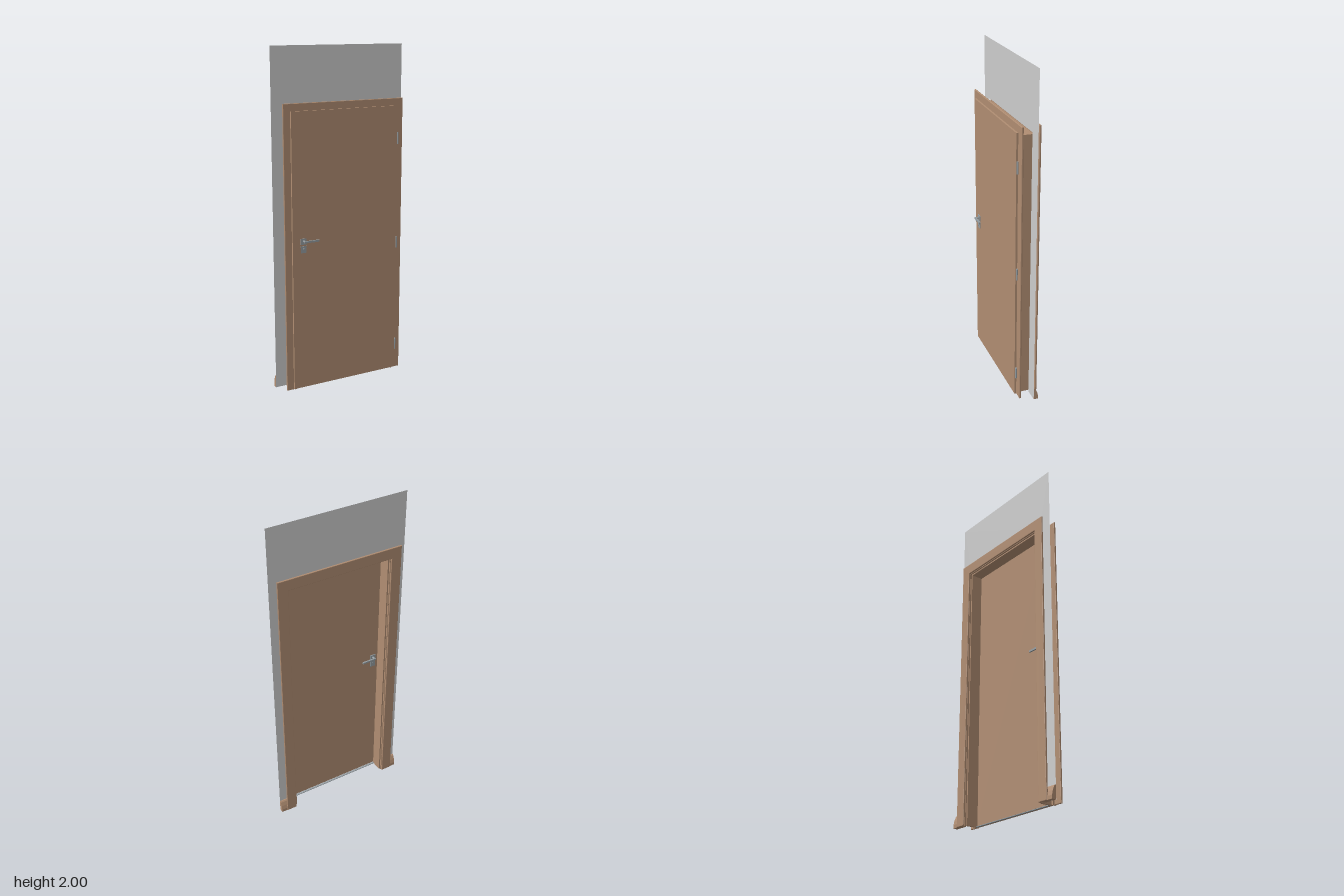
import * as THREE from 'three';

const wood = new THREE.MeshStandardMaterial({ color: 0xb08d72 });
wood.name = 'wood';
const metal = new THREE.MeshStandardMaterial({ color: 0x959da1 });
metal.name = 'metal';
const plaster = new THREE.MeshStandardMaterial({ color: 0xcccccc, side: THREE.DoubleSide });
plaster.name = 'plaster';

function add(parent, name, geometry, material) {
  const mesh = new THREE.Mesh(geometry, material);
  mesh.name = name;
  parent.add(mesh);
  return mesh;
}

// Box given by its minimum and maximum on each axis
function box(parent, name, [x0, x1], [y0, y1], [z0, z1], material) {
  const mesh = add(parent, name, new THREE.BoxGeometry(x1 - x0, y1 - y0, z1 - z0), material);
  mesh.position.set((x0 + x1) / 2, (y0 + y1) / 2, (z0 + z1) / 2);
  return mesh;
}

// Portal outline: two legs and a head, open at the floor
function portalShape(outX, outY, inX, inY) {
  return new THREE.Shape([
    [-outX, 0], [-inX, 0], [-inX, inY], [inX, inY],
    [inX, 0], [outX, 0], [outX, outY], [-outX, outY],
  ].map(([x, y]) => new THREE.Vector2(x, y)));
}

function portal(parent, name, outX, outY, inX, inY, z0, z1, bevel = 0) {
  const geometry = new THREE.ExtrudeGeometry(portalShape(outX, outY, inX, inY), {
    depth: z1 - z0 - 2 * bevel,
    bevelEnabled: bevel > 0,
    bevelSize: bevel,
    bevelThickness: bevel,
    bevelOffset: -bevel,
    bevelSegments: 2,
  });
  add(parent, name, geometry, wood).position.z = z0 + bevel;
}

// Lever set on one face of the door; dir is the way it sticks out
function handleSet(parent, name, faceZ, dir) {
  const set = new THREE.Group();
  set.name = name;
  set.position.z = faceZ;
  parent.add(set);
  const out = (a, b) => (dir > 0 ? [a, b] : [-b, -a]);
  box(set, 'handleRose', [-0.296, -0.261], [0.886, 0.921], out(0, 0.005), metal);
  box(set, 'keyRose', [-0.296, -0.261], [0.837, 0.877], out(0, 0.005), metal);
  const neck = add(set, 'handleNeck', new THREE.CylinderGeometry(0.006, 0.006, 0.026, 16), metal);
  neck.rotation.x = Math.PI / 2;
  neck.position.set(-0.278, 0.906, dir * 0.017);
  box(set, 'handleLever', [-0.284, -0.193], [0.9, 0.911], out(0.023, 0.032), metal);
  const cylinder = add(set, 'lockCylinder', new THREE.CylinderGeometry(0.006, 0.006, 0.004, 16), metal);
  cylinder.rotation.x = Math.PI / 2;
  cylinder.position.set(-0.278, 0.86, dir * 0.006);
}

export function createModel() {
  const model = new THREE.Group();
  model.name = 'doorInWall';

  // Thin wall sheet around the opening
  const wall = add(model, 'wall', new THREE.ShapeGeometry(portalShape(0.425, 2, 0.34, 1.64)), plaster);
  wall.position.z = -0.048;

  // Frame: lining, casings and their tongues
  const frame = new THREE.Group();
  frame.name = 'frame';
  model.add(frame);
  portal(frame, 'lining', 0.325, 1.625, 0.312, 1.612, -0.061, 0.011);
  portal(frame, 'backCasing', 0.388, 1.69, 0.323, 1.623, -0.08, -0.069, 0.003);
  portal(frame, 'backTongue', 0.335, 1.635, 0.32, 1.62, -0.07, -0.06);
  portal(frame, 'frontCasing', 0.388, 1.69, 0.323, 1.623, 0.019, 0.03, 0.003);
  portal(frame, 'frontTongue', 0.335, 1.635, 0.323, 1.623, 0.01, 0.02);
  portal(frame, 'sealStrip', 0.335, 1.635, 0.325, 1.625, 0.029, 0.033);

  // Rebated door leaf
  const door = new THREE.Group();
  door.name = 'door';
  model.add(door);
  box(door, 'doorBody', [-0.32, 0.32], [0.008, 1.62], [0.012, 0.034], wood);
  box(door, 'doorFace', [-0.346, 0.344], [0.008, 1.647], [0.033, 0.044], wood);
  handleSet(door, 'frontHandle', 0.044, 1);
  handleSet(door, 'backHandle', 0.012, -1);

  // Hinges on the model's left
  for (const y of [0.16, 0.818, 1.455]) {
    const hinge = add(model, 'hinge', new THREE.CylinderGeometry(0.0055, 0.0055, 0.07, 16), metal);
    hinge.position.set(0.351, y, 0.038);
  }

  // Threshold strip under the leaf
  box(model, 'threshold', [-0.323, 0.323], [0, 0.004], [0.002, 0.014], metal);

  // Short skirting boards behind the wall, profile drawn as (depth, height)
  const profile = new THREE.Shape([
    [0, 0], [0.027, 0], [0.027, 0.02], [0.021, 0.045], [0.012, 0.068], [0.006, 0.075], [0, 0.075],
  ].map(([x, y]) => new THREE.Vector2(x, y)));
  const skirting = new THREE.ExtrudeGeometry(profile, { depth: 0.085, bevelEnabled: false });
  skirting.rotateY(Math.PI / 2);
  for (const x of [-0.425, 0.34]) {
    add(model, 'skirting', skirting, wood).position.set(x, 0, -0.0485);
  }

  return model;
}
